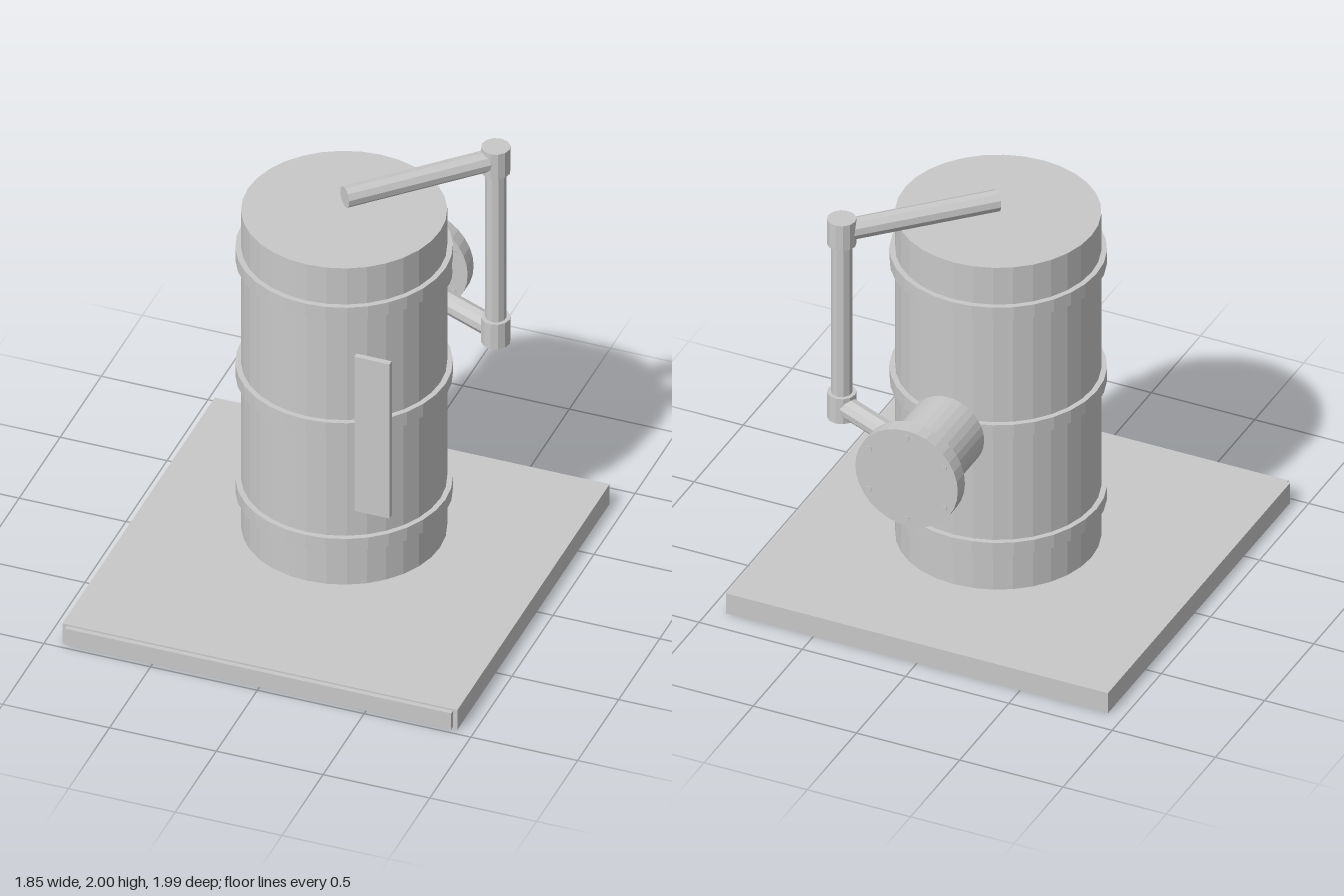
import * as THREE from 'three';

export function createModel() {
  const model = new THREE.Group();
  const metal = new THREE.MeshStandardMaterial({ name: 'grey metal', color: 0xc8c8c8, flatShading: true });

  function add(name, geometry, x = 0, y = 0, z = 0, parent = model) {
    const mesh = new THREE.Mesh(geometry, metal);
    mesh.name = name;
    mesh.position.set(x, y, z);
    parent.add(mesh);
    return mesh;
  }

  // Cylinder running between two points
  function rod(name, a, b, radius, sides, parent = model) {
    const from = new THREE.Vector3(...a), to = new THREE.Vector3(...b);
    const along = to.clone().sub(from);
    const mid = from.add(to).multiplyScalar(0.5);
    const mesh = add(name, new THREE.CylinderGeometry(radius, radius, along.length(), sides), mid.x, mid.y, mid.z, parent);
    mesh.quaternion.setFromUnitVectors(new THREE.Vector3(0, 1, 0), along.normalize());
    return mesh;
  }

  // Base slab with a thin strip along its front edge
  add('baseSlab', new THREE.BoxGeometry(1.85, 0.105, 1.855), 0, 0.0525, 0.042);
  add('frontStrip', new THREE.BoxGeometry(1.81, 0.085, 0.025), 0, 0.055, 0.98);

  // Tank and its three hoops
  const tankZ = -0.057;
  rod('tank', [0, 0.19, tankZ], [0, 1.873, tankZ], 0.451, 32);
  for (const y of [0.417, 1.033, 1.648]) {
    rod('tankHoop', [0, y - 0.033, tankZ], [0, y + 0.033, tankZ], 0.476, 32);
  }

  // Upright gauge plate
  add('gaugePlate', new THREE.BoxGeometry(0.165, 0.82, 0.027), 0.305, 1.03, 0.384);

  // Pipe run from the tank top to the rear nozzle
  const px = 0.511, pz = -0.576;
  const pipe = new THREE.Group();
  pipe.name = 'pipeRun';
  model.add(pipe);
  rod('upperPipe', [0, 1.936, -0.065], [px, 1.936, pz], 0.05, 10, pipe);
  rod('upperJoint', [px, 1.87, pz], [px, 2, pz], 0.065, 12, pipe);
  rod('verticalPipe', [px, 1.05, pz], [px, 1.9, pz], 0.047, 10, pipe);
  rod('lowerJoint', [px, 0.965, pz], [px, 1.095, pz], 0.065, 12, pipe);
  rod('lowerPipe', [px, 1.03, pz], [0.12, 1.03, -0.745], 0.05, 10, pipe);

  // Rear nozzle with a bolted flange
  const nozzle = new THREE.Group();
  nozzle.name = 'rearNozzle';
  nozzle.position.set(0, 1.03, 0);
  model.add(nozzle);
  rod('nozzleBody', [0, 0, -0.572], [0, 0, -0.95], 0.177, 32, nozzle);
  rod('flange', [0, 0, -0.917], [0, 0, -0.99], 0.248, 32, nozzle);
  for (let i = 0; i < 6; i++) {
    const a = Math.PI / 2 + i * Math.PI / 3;
    const x = 0.21 * Math.cos(a), y = 0.21 * Math.sin(a);
    rod('flangeBolt', [x, y, -0.913], [x, y, -0.994], 0.014, 8, nozzle);
  }
  return model;
}
